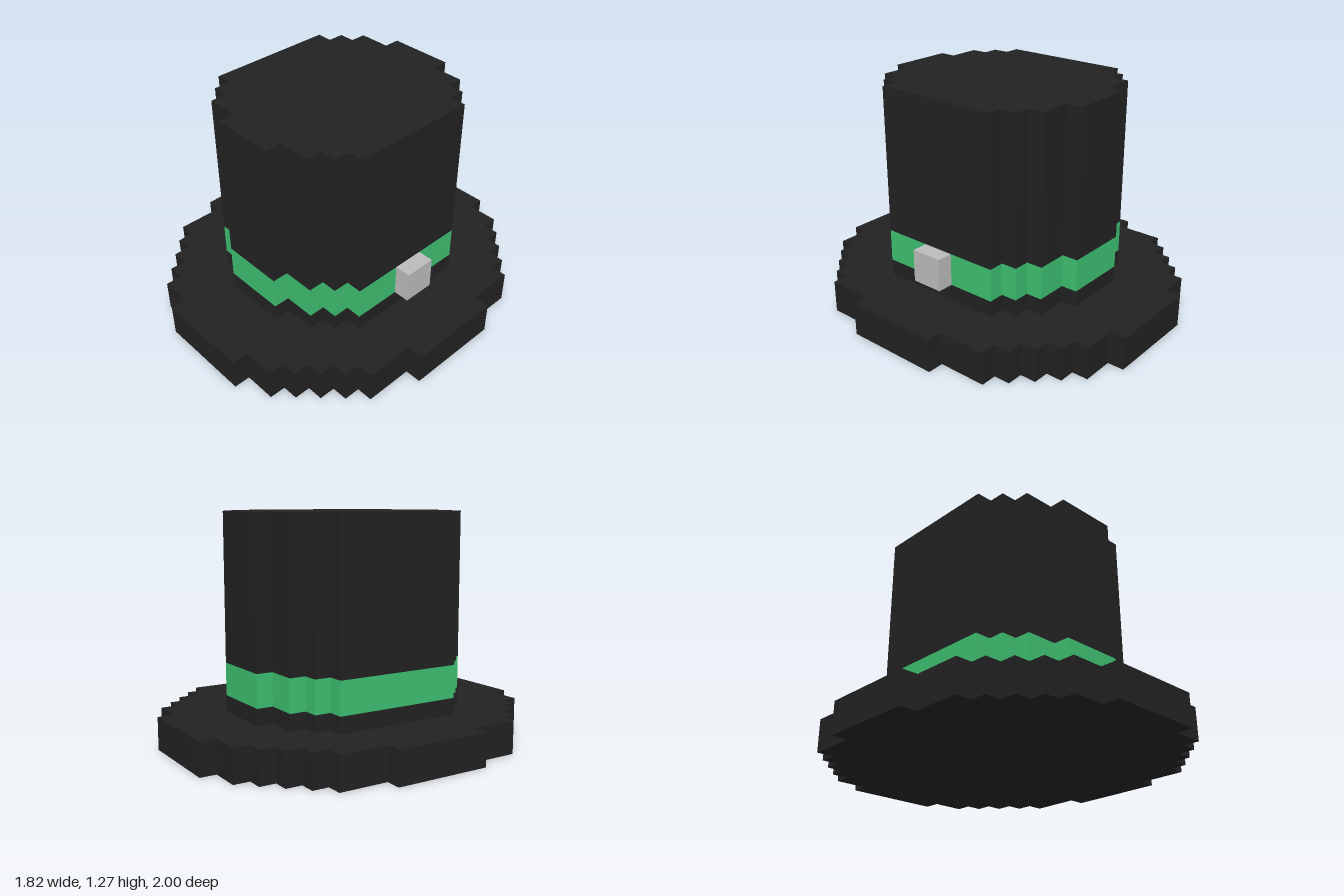
import * as THREE from 'three';

const U = 1 / 11; // one voxel

const felt = new THREE.MeshStandardMaterial({ color: 0x222222 });
felt.name = 'black felt';
const ribbon = new THREE.MeshStandardMaterial({ color: 0x3dbf70 });
ribbon.name = 'green ribbon';
const metal = new THREE.MeshStandardMaterial({ color: 0xbbbbbb });
metal.name = 'grey metal';

// Outer corners of one quadrant as [x, z] in voxels, from the front round to the side
const BRIM = [[3, 11], [5, 10], [6, 9], [7, 8], [8, 7], [9, 6], [10, 3]];
const CROWN = [[2, 7], [4, 6], [5, 5], [6, 4]];

// Stepped outline, mirrored into all four quadrants
function steppedShape(corners) {
  const quarter = [];
  corners.forEach(([x, z], i) => {
    quarter.push([x, z]);
    if (i < corners.length - 1) quarter.push([x, corners[i + 1][1]]);
  });
  const back = [...quarter].reverse();
  const outline = [
    ...quarter,
    ...back.map(([x, z]) => [x, -z]),
    ...quarter.map(([x, z]) => [-x, -z]),
    ...back.map(([x, z]) => [-x, z]),
  ];
  return new THREE.Shape(outline.map(([x, z]) => new THREE.Vector2(x * U, z * U)));
}

// Upright slab of the outline between two voxel heights
function slab(name, corners, y0, y1, material) {
  const geometry = new THREE.ExtrudeGeometry(steppedShape(corners), {
    depth: (y1 - y0) * U,
    bevelEnabled: false,
  });
  geometry.rotateX(-Math.PI / 2);
  const mesh = new THREE.Mesh(geometry, material);
  mesh.name = name;
  mesh.position.y = y0 * U;
  return mesh;
}

export function createModel() {
  const hat = new THREE.Group();
  hat.name = 'topHat';

  hat.add(
    slab('brim', BRIM, 0, 2, felt),
    slab('crownBase', CROWN, 2, 3, felt),
    slab('hatBand', CROWN, 3, 5, ribbon),
    slab('crown', CROWN, 5, 14, felt),
  );

  // Buckle on the left side of the band
  const buckle = new THREE.Mesh(new THREE.BoxGeometry(U, 2 * U, 2 * U), metal);
  buckle.name = 'buckle';
  buckle.position.set(6.5 * U, 4 * U, 0);
  hat.add(buckle);

  return hat;
}
